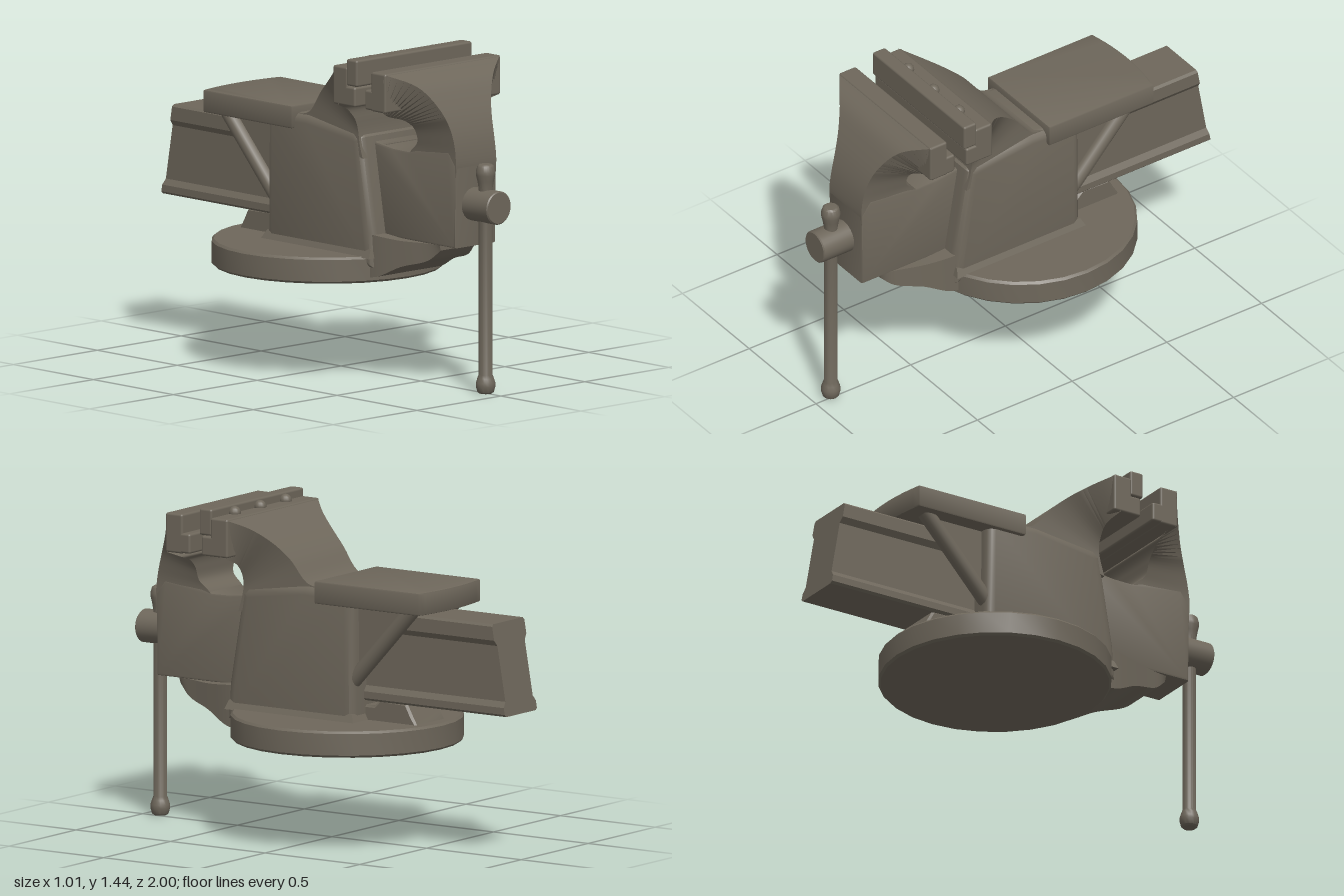
import * as THREE from 'three';
import { toCreasedNormals } from 'three/addons/utils/BufferGeometryUtils.js';
import { RoundedBoxGeometry } from 'three/addons/geometries/RoundedBoxGeometry.js';

const iron = new THREE.MeshStandardMaterial({ color: 0x6e675b });
iron.name = 'castIron';

function add(parent, name, geometry, x = 0, y = 0, z = 0) {
  const mesh = new THREE.Mesh(geometry, iron);
  mesh.name = name;
  mesh.position.set(x, y, z);
  parent.add(mesh);
  return mesh;
}

// Skin over sections [outerZ, outerY, outerHalfWidth, innerZ, innerY, innerHalfWidth]
function loft(sections, perSpan = 5) {
  const corners = [[0, 1], [0, -1], [3, -1], [3, 1]].map(([o, side]) =>
    new THREE.CatmullRomCurve3(sections.map((s) =>
      new THREE.Vector3(side * s[o + 2], s[o + 1], s[o])), false, 'centripetal'));
  const steps = (sections.length - 1) * perSpan;
  const pts = [];
  for (let i = 0; i <= steps; i++) for (const c of corners) pts.push(c.getPoint(i / steps));
  const tris = [];
  const quad = (a, b, c, d) => tris.push([a, b, c], [a, c, d]);
  for (let i = 0; i < steps; i++) {
    for (let k = 0; k < 4; k++) {
      const a = i * 4 + k, b = i * 4 + (k + 1) % 4;
      quad(a, b, b + 4, a + 4);
    }
  }
  const e = steps * 4;
  quad(3, 2, 1, 0);
  quad(e, e + 1, e + 2, e + 3);
  // Turn the faces outward if the enclosed volume comes out negative
  const volume = tris.reduce((v, [a, b, c]) => v + pts[a].dot(pts[b].clone().cross(pts[c])), 0);
  const order = volume < 0 ? [0, 2, 1] : [0, 1, 2];
  const geo = new THREE.BufferGeometry().setFromPoints(
    tris.flatMap((t) => order.map((k) => pts[t[k]])));
  geo.computeVertexNormals();
  return toCreasedNormals(geo, 0.6);
}

// Side profile of [z, y] points, given a total width across x
function sideExtrude(points, halfWidth, bevel, segments = 3) {
  const shape = new THREE.Shape(points.map(([z, y]) => new THREE.Vector2(z, y)));
  const geo = new THREE.ExtrudeGeometry(shape, {
    depth: 2 * (halfWidth - bevel), bevelEnabled: bevel > 0, bevelThickness: bevel,
    bevelSize: bevel, bevelOffset: -bevel, bevelSegments: segments,
  });
  geo.translate(0, 0, bevel - halfWidth).rotateY(-Math.PI / 2);
  return toCreasedNormals(geo, 0.6);
}

function lathe(points, segments) {
  const geo = new THREE.LatheGeometry(points.map(([r, y]) => new THREE.Vector2(r, y)), segments);
  return toCreasedNormals(geo, 0.6);
}

function jawBlock(parent, name, z0, z1, y0, y1) {
  add(parent, name, new RoundedBoxGeometry(0.69, y1 - y0, z1 - z0, 2, 0.01),
    0, (y0 + y1) / 2, (z0 + z1) / 2);
}

export function createModel() {
  const vise = new THREE.Group();
  vise.name = 'benchVise';

  // Round base with the nose in front and the clamp lug behind
  add(vise, 'base', lathe([[0, 0.44], [0.495, 0.44], [0.505, 0.45], [0.505, 0.545],
    [0.495, 0.555], [0, 0.555]], 28), 0, 0, -0.08);
  add(vise, 'nose', loft([
    [0.3, 0.66, 0.2, 0.3, 0.46, 0.2], [0.42, 0.65, 0.19, 0.42, 0.47, 0.19],
    [0.54, 0.64, 0.16, 0.54, 0.525, 0.16], [0.67, 0.64, 0.12, 0.67, 0.565, 0.12],
    [0.73, 0.64, 0.11, 0.73, 0.615, 0.1]]));
  add(vise, 'clampLug', sideExtrude([[-0.2, 0.54], [-0.53, 0.54], [-0.5, 0.59], [-0.47, 0.645],
    [-0.33, 0.65], [-0.3, 0.62], [-0.2, 0.62]], 0.11, 0.01, 1));

  // Fixed body, flaring arm and rear jaw
  const fixed = new THREE.Group();
  fixed.name = 'fixedJaw';
  vise.add(fixed);
  add(fixed, 'body', sideExtrude([[0.415, 0.5], [0.405, 0.66], [0.335, 1.07], [0.3, 1.1],
    [0.0, 1.13], [-0.25, 1.12], [-0.255, 0.5]], 0.21, 0.04));
  add(fixed, 'bodyFoot', loft([
    [0.41, 0.55, 0.225, -0.27, 0.55, 0.225], [0.4, 0.59, 0.205, -0.25, 0.59, 0.205]], 1));
  add(fixed, 'arm', loft([
    [-0.08, 1.12, 0.19, 0.35, 0.98, 0.205], [0.0, 1.14, 0.19, 0.33, 1.05, 0.205],
    [0.08, 1.235, 0.2, 0.322, 1.1, 0.205], [0.16, 1.305, 0.225, 0.32, 1.15, 0.22],
    [0.24, 1.36, 0.27, 0.32, 1.2, 0.265], [0.32, 1.403, 0.345, 0.345, 1.235, 0.345]]));
  jawBlock(fixed, 'rearHead', 0.31, 0.4, 1.235, 1.405);
  jawBlock(fixed, 'rearLedge', 0.35, 0.448, 1.235, 1.322);
  jawBlock(fixed, 'rearJawPlate', 0.393, 0.46, 1.325, 1.442);
  for (const x of [-0.19, 0, 0.19]) {
    add(fixed, 'plateScrew', new THREE.SphereGeometry(0.027, 14, 10), x, 1.41, 0.38);
  }

  // Anvil with a bowed rear edge
  const top = new THREE.Shape();
  top.moveTo(-0.23, 0.07).lineTo(0.23, 0.07).lineTo(0.23, 0.62);
  top.quadraticCurveTo(0, 0.672, -0.23, 0.62);
  const anvil = new THREE.ExtrudeGeometry(top, {
    depth: 0.084, bevelThickness: 0.008, bevelSize: 0.008, bevelOffset: -0.008, bevelSegments: 2,
  });
  anvil.rotateX(-Math.PI / 2).translate(0, 1.068, 0);
  add(fixed, 'anvil', toCreasedNormals(anvil, 0.6));

  // Gussets and round struts under the anvil
  for (const side of [-1, 1]) {
    add(fixed, 'gusset', sideExtrude([[-0.2, 1.07], [-0.2, 0.7], [-0.25, 0.73], [-0.55, 1.07]],
      0.015, 0), side * 0.14);
    const from = new THREE.Vector3(side * 0.16, 0.7, -0.2);
    const to = new THREE.Vector3(side * 0.16, 1.075, -0.545);
    const strut = new THREE.TubeGeometry(new THREE.LineCurve3(from, to), 1, 0.035, 14);
    add(fixed, 'strut', strut);
  }

  // Sliding bar: channelled section with a slanted rear end
  const half = [[0.11, 0.64], [0.12, 0.65], [0.12, 0.68], [0.102, 0.705],
    [0.102, 0.945], [0.12, 0.97], [0.12, 1.03], [0.11, 1.04]];
  const ring = [...half, ...half.map(([x, y]) => [-x, y]).reverse()];
  const bar = new THREE.ExtrudeGeometry(
    new THREE.Shape(ring.map(([x, y]) => new THREE.Vector2(x, y))), { depth: 1.4, bevelEnabled: false });
  bar.translate(0, 0, -1);
  const p = bar.attributes.position;
  for (let i = 0; i < p.count; i++) {
    if (p.getZ(i) < -0.9) p.setZ(i, -1 + 0.07 * (p.getY(i) - 0.64) / 0.4);
  }
  add(vise, 'slideBar', toCreasedNormals(bar, 0.3));

  // Moving front jaw
  const moving = new THREE.Group();
  moving.name = 'movingJaw';
  vise.add(moving);
  add(moving, 'slideBody', sideExtrude([[0.84, 0.64], [0.845, 1.0], [0.8, 1.06], [0.6, 1.045],
    [0.55, 1.028], [0.45, 1.03], [0.3, 1.05], [0.3, 0.64]], 0.122, 0.01, 2));
  add(moving, 'arm', loft([
    [0.842, 0.95, 0.12, 0.54, 0.98, 0.12], [0.845, 1.01, 0.12, 0.56, 1.03, 0.12],
    [0.833, 1.1, 0.12, 0.612, 1.08, 0.128], [0.808, 1.18, 0.13, 0.616, 1.14, 0.15],
    [0.77, 1.26, 0.16, 0.61, 1.18, 0.2], [0.715, 1.345, 0.225, 0.595, 1.205, 0.28],
    [0.63, 1.403, 0.345, 0.625, 1.232, 0.345]]));
  jawBlock(moving, 'frontHead', 0.548, 0.638, 1.232, 1.405);
  jawBlock(moving, 'frontLedge', 0.508, 0.6, 1.235, 1.322);

  // Screw head and sliding handle
  const screw = lathe([[0, 0], [0.073, 0], [0.073, 0.165], [0.068, 0.17], [0, 0.17]], 28);
  add(vise, 'screwHead', screw.rotateX(Math.PI / 2), -0.01, 0.825, 0.83);
  add(vise, 'handle', lathe([[0, 0], [0.028, 0.003], [0.036, 0.01], [0.043, 0.035], [0.042, 0.05],
    [0.036, 0.07], [0.03, 0.085], [0.03, 0.9], [0.036, 0.935], [0.042, 0.96], [0.043, 0.975],
    [0.036, 1.0], [0.028, 1.007], [0, 1.01]], 20), -0.01, 0, 0.915);

  return vise;
}
